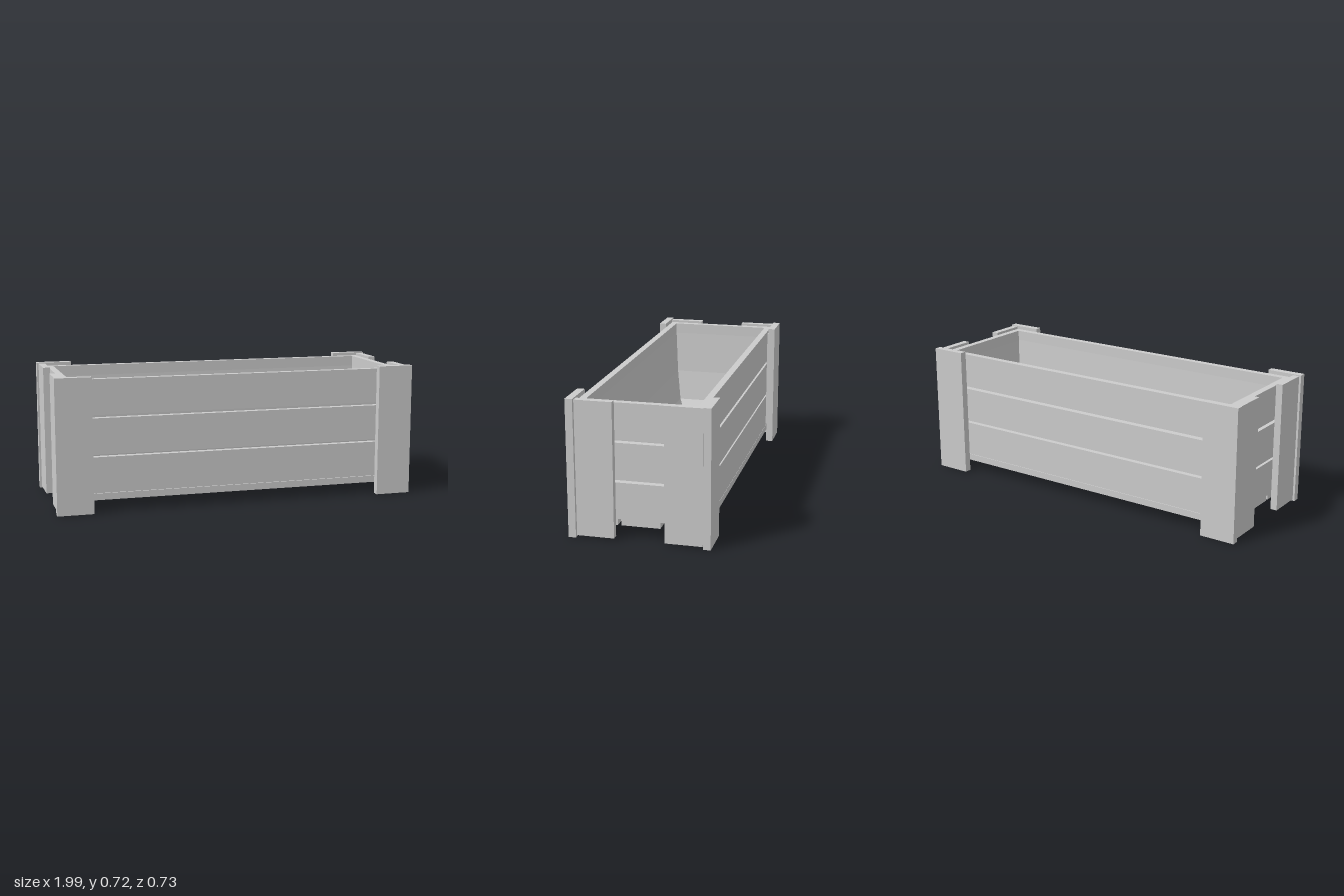
import * as THREE from 'three';

const material = new THREE.MeshStandardMaterial({ color: 0xcccccc });
const linerMaterial = new THREE.MeshStandardMaterial({ color: 0xcccccc, side: THREE.DoubleSide, flatShading: true });

// Board given by its minimum and maximum corners
function board(parent, name, [x0, y0, z0], [x1, y1, z1]) {
  const mesh = new THREE.Mesh(new THREE.BoxGeometry(x1 - x0, y1 - y0, z1 - z0), material);
  mesh.position.set((x0 + x1) / 2, (y0 + y1) / 2, (z0 + z1) / 2);
  mesh.name = name;
  parent.add(mesh);
  return mesh;
}

// Tapered basin lofted through rectangular rings, closed by a flat floor
function liner(rings) {
  const pos = [], index = [];
  for (const [x, y, z] of rings) pos.push(-x, y, z, x, y, z, x, y, -z, -x, y, -z);
  for (let r = 0; r < rings.length - 1; r++) {
    for (let i = 0; i < 4; i++) {
      const a = r * 4 + i, b = r * 4 + (i + 1) % 4;
      index.push(a, b, b + 4, a, b + 4, a + 4);
    }
  }
  const f = (rings.length - 1) * 4;
  index.push(f, f + 1, f + 2, f, f + 2, f + 3);
  const geometry = new THREE.BufferGeometry();
  geometry.setAttribute('position', new THREE.Float32BufferAttribute(pos, 3));
  geometry.setIndex(index);
  geometry.computeVertexNormals();
  const mesh = new THREE.Mesh(geometry, linerMaterial);
  mesh.name = 'innerLiner';
  return mesh;
}

export function createModel() {
  const group = new THREE.Group();
  group.name = 'planterBox';

  // Three courses of planks on all four walls, with narrow gaps between
  const walls = new THREE.Group();
  walls.name = 'walls';
  for (const [y0, y1] of [[0.1, 0.293], [0.306, 0.5], [0.517, 0.706]]) {
    for (const s of [-1, 1]) {
      const zc = s * 0.302, xc = s * 0.924;
      board(walls, 'longPlank', [-0.942, y0, zc - 0.018], [0.942, y1, zc + 0.018]);
      board(walls, 'endPlank', [xc - 0.018, y0, -0.284], [xc + 0.018, y1, 0.284]);
    }
  }
  group.add(walls);

  // Floor planks running lengthwise
  const floor = new THREE.Group();
  floor.name = 'floor';
  for (const [z0, z1] of [[-0.32, -0.115], [-0.095, 0.108], [0.125, 0.32]]) {
    board(floor, 'floorPlank', [-0.93, 0.062, z0], [0.93, 0.098, z1]);
  }
  group.add(floor);

  // L-shaped corner posts, each made of two boards
  for (const sx of [-1, 1]) {
    for (const sz of [-1, 1]) {
      const post = new THREE.Group();
      post.name = 'cornerPost';
      const xs = [sx * 0.8, sx * 0.995].sort((a, b) => a - b);
      const zs = [sz * 0.327, sz * 0.366].sort((a, b) => a - b);
      board(post, 'facePostBoard', [xs[0], 0, zs[0]], [xs[1], 0.723, zs[1]]);
      const ex = [sx * 0.948, sx * 0.985].sort((a, b) => a - b);
      const ez = [sz * 0.13, sz * 0.324].sort((a, b) => a - b);
      board(post, 'endPostBoard', [ex[0], 0.01, ez[0]], [ex[1], 0.718, ez[1]]);
      // Cleat joining the post to the wall
      board(post, 'postCleat', [Math.min(sx * 0.81, sx * 0.948), 0.11, Math.min(sz * 0.315, sz * 0.33)],
        [Math.max(sx * 0.81, sx * 0.948), 0.69, Math.max(sz * 0.315, sz * 0.33)]);
      group.add(post);
    }
  }

  // Hollow interior, sloping in towards the floor
  group.add(liner([[0.908, 0.69, 0.286], [0.895, 0.4, 0.272], [0.87, 0.22, 0.25], [0.8, 0.12, 0.2]]));

  return group;
}
